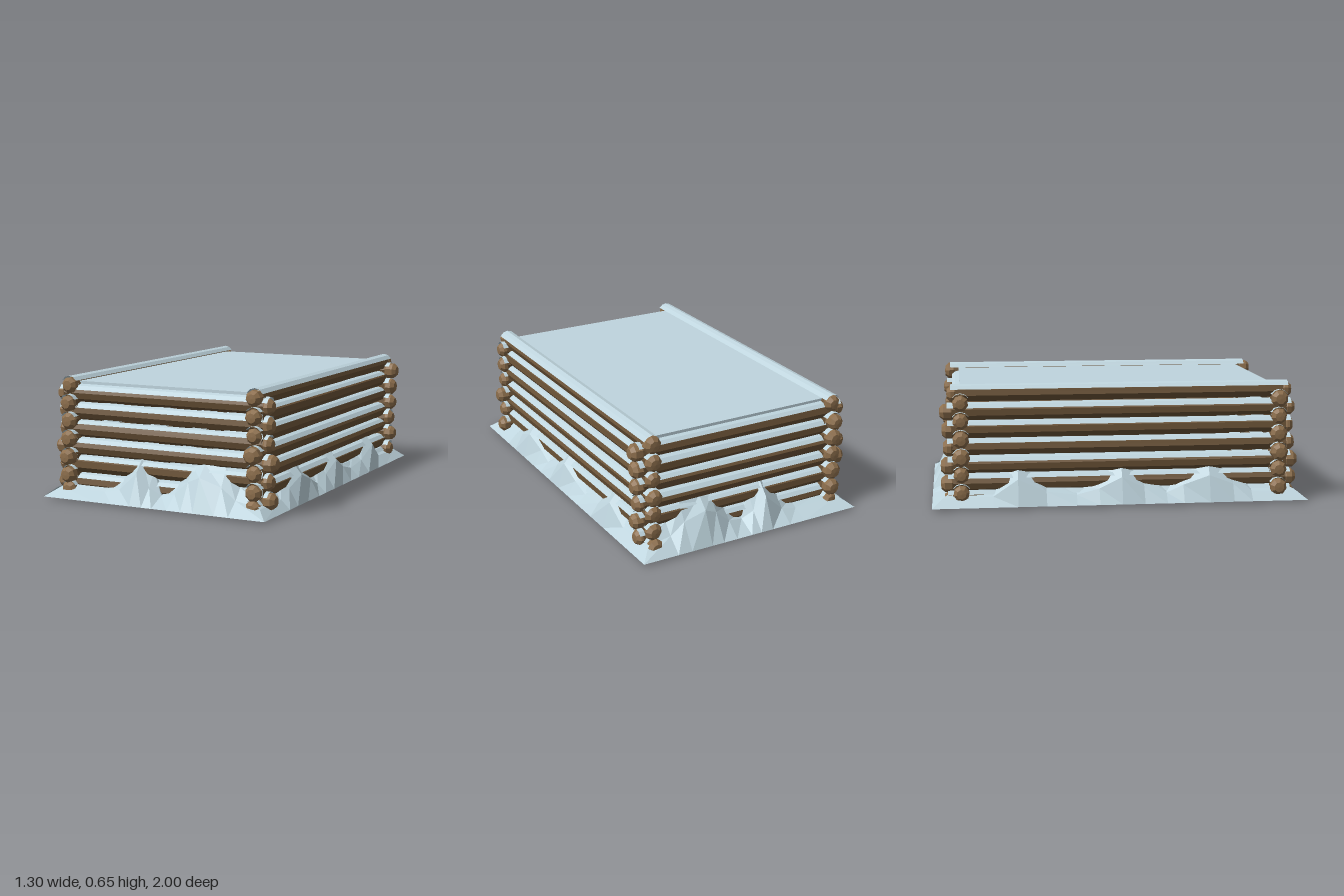
import * as THREE from 'three';

const flat = (name, color, side = THREE.FrontSide) => {
  const m = new THREE.MeshStandardMaterial({ color, side, flatShading: true });
  m.name = name;
  return m;
};

export function createModel() {
  const model = new THREE.Group();
  model.name = 'snowyLogPen';
  const bark = flat('bark', 0x6b5337);
  const cutWood = flat('cutWood', 0x8c6e4c);
  const snow = flat('snow', 0xbfd5de, THREE.DoubleSide);

  const add = (parent, name, geometry, material) => {
    const mesh = new THREE.Mesh(geometry, material);
    mesh.name = name;
    parent.add(mesh);
    return mesh;
  };

  let seed = 7;
  const rand = () => (seed = (seed * 16807) % 2147483647) / 2147483647;

  // One log lying along z: tapered bark, knobbly cut ends, snow along the top
  function makeLog(name, half, snowy) {
    const log = new THREE.Group();
    log.name = name;
    const taper = (rand() - 0.5) * 0.01;
    const body = half - 0.05;
    add(log, 'logBark', new THREE.CylinderGeometry(0.042 + taper, 0.042 - taper, body * 2, 8, 1, true)
      .rotateY(rand()).rotateX(Math.PI / 2), bark);

    for (const s of [-1, 1]) {
      const r = 0.041 + rand() * 0.006;
      const tip = half + (rand() - 0.5) * 0.03;
      const profile = [[0.036, body - 0.01], [r, body + 0.005], [r, tip - 0.02], [r * 0.6, tip], [0, tip + 0.002]]
        .map(([x, y]) => new THREE.Vector2(x, y));
      const end = new THREE.LatheGeometry(profile, 8).rotateY(rand()).rotateX(Math.PI / 2);
      if (s < 0) end.rotateY(Math.PI);
      add(log, 'logEnd', end, cutWood);
    }

    if (snowy) {
      const a = 0.9 + rand() * 0.2;
      add(log, 'logSnow', new THREE.CylinderGeometry(0.05 + taper * 0.4, 0.05 - taper * 0.4, half * 2 - 0.05, 4, 1, true,
        Math.PI - a, a * 2).rotateX(Math.PI / 2), snow);
    }
    return log;
  }

  // Side walls: logs along z
  for (const s of [-1, 1]) {
    for (let i = 0; i < 7; i++) {
      const log = makeLog('sideLog', i === 6 ? 0.92 : 0.94, true);
      log.position.set(s * 0.545, i === 0 ? 0.045 : 0.03 + i * 0.095, 0);
      model.add(log);
    }
  }
  // Front and back walls: logs along x, set half a step between the side logs
  for (const s of [-1, 1]) {
    for (let i = 0; i < 6; i++) {
      const log = makeLog('endLog', 0.635, true);
      log.position.set(0, 0.08 + i * 0.095, s * 0.845);
      log.rotation.y = Math.PI / 2;
      model.add(log);
    }
  }

  // Flat snow filling the top
  add(model, 'topSnow', new THREE.BoxGeometry(1.04, 0.02, 1.69), snow).position.y = 0.61;

  // Snow sheet on the ground
  add(model, 'groundSnow', new THREE.PlaneGeometry(1.3, 2).rotateX(-Math.PI / 2), snow).position.y = 0.011;

  // Drifts: [position along wall, ridge height, height at wall, how far the ridge leans out]
  const endDrift = [
    [-0.32, 0.05, 0.08, 0], [-0.23, 0.07, 0.13, 0], [-0.12, 0.17, 0.24, 0.01], [-0.05, 0.1, 0.18, 0],
    [0.01, 0.06, 0.07, -0.02], [0.1, 0.08, 0.13, 0], [0.18, 0.15, 0.22, 0], [0.25, 0.18, 0.24, 0.01],
    [0.37, 0.14, 0.23, 0], [0.45, 0.08, 0.14, 0],
  ];
  const sideDrift = [
    [-0.68, 0.06, 0.09, 0], [-0.55, 0.15, 0.22, 0.01], [-0.4, 0.08, 0.12, 0], [-0.24, 0.06, 0.09, 0],
    [-0.12, 0.09, 0.14, 0], [0, 0.15, 0.22, 0.01], [0.12, 0.09, 0.14, 0], [0.24, 0.06, 0.09, 0],
    [0.33, 0.1, 0.15, 0], [0.47, 0.15, 0.22, 0.01], [0.6, 0.1, 0.15, 0], [0.7, 0.06, 0.09, 0],
  ];

  // Skirt of three rows: ground edge, ridge, wall
  function makeDrift(points, halfWidth, depth, toWall, toRidge) {
    const rows = [
      [-1, 0.055, 0.08, 0], ...points, [1, 0.055, 0.08, 0],
    ].map(([t, ridge, wall, lean], i, all) => {
      const corner = i === 0 || i === all.length - 1;
      const at = (cornerX) => (corner ? t * cornerX : t);
      return [
        [at(halfWidth), 0.011, depth],
        [at(halfWidth - 0.055), ridge, depth - toRidge + lean],
        [at(halfWidth - 0.1), wall, depth - toWall],
      ];
    });
    const index = [];
    for (let i = 0; i < rows.length - 1; i++) {
      for (let j = 0; j < 2; j++) {
        const a = i * 3 + j, b = a + 3;
        index.push(a, b, a + 1, b, b + 1, a + 1);
      }
    }
    const geometry = new THREE.BufferGeometry();
    geometry.setAttribute('position', new THREE.Float32BufferAttribute(rows.flat(2), 3));
    geometry.setIndex(index);
    geometry.computeVertexNormals();
    return geometry;
  }

  for (const s of [-1, 1]) {
    // Mirrored front to back and left to right
    add(model, 'endDrift', makeDrift(endDrift, 0.65, 1, 0.14, 0.085), snow).scale.z = s;
    const side = add(model, 'sideDrift', makeDrift(sideDrift, 1, 0.65, 0.1, 0.05), snow);
    side.rotation.y = Math.PI / 2;
    side.scale.set(-1, 1, s);
  }
  return model;
}
